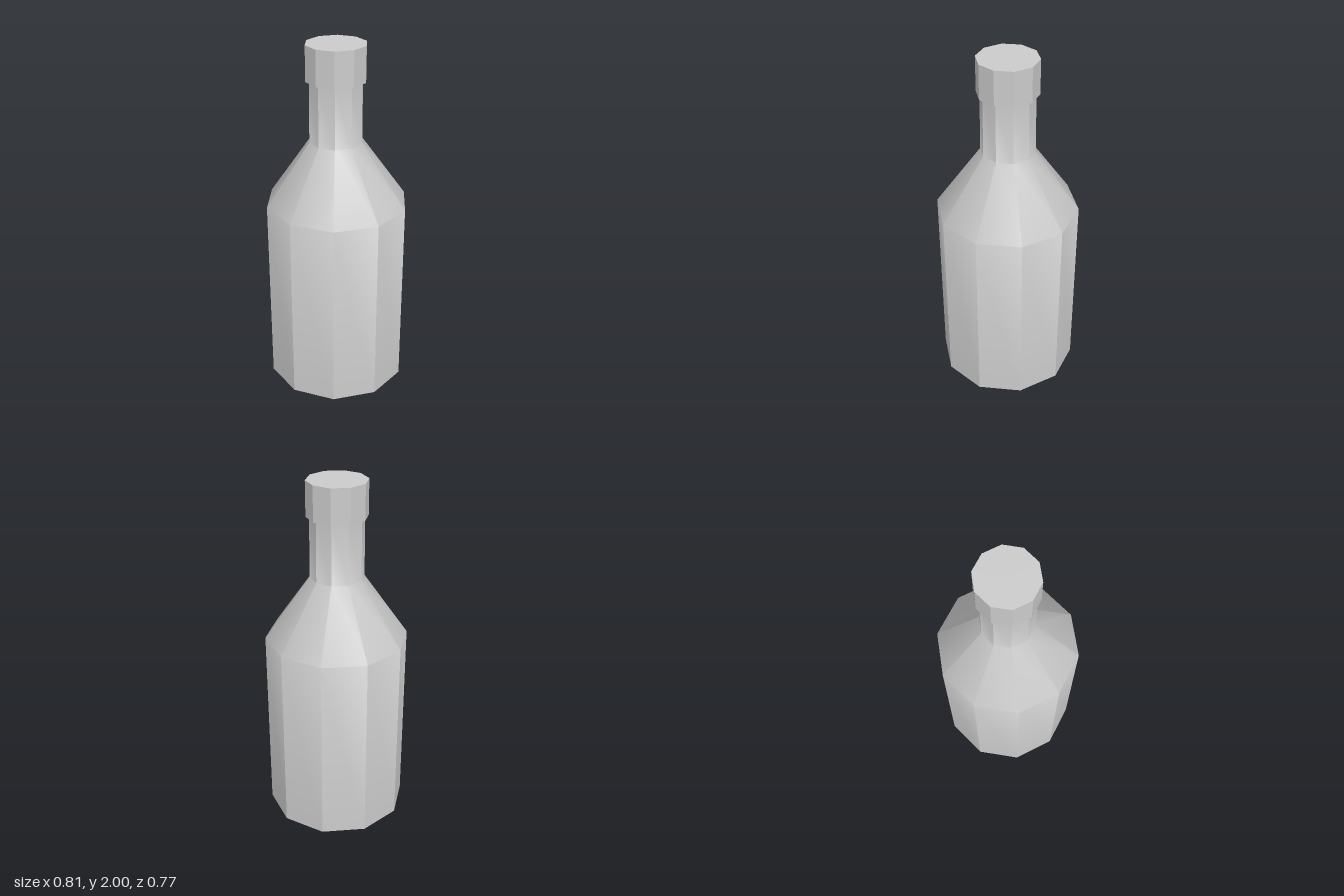
import * as THREE from 'three';
import { toCreasedNormals } from 'three/addons/utils/BufferGeometryUtils.js';

const SIDES = 10;
const OFFSET = -0.003; // neck and cap sit slightly off the body's axis

export function createModel() {
  const group = new THREE.Group();
  group.name = 'bottle';
  const material = new THREE.MeshStandardMaterial({ color: 0xcccccc });

  // Body, shoulder and neck in one ten-sided turned shape
  const profile = [[0, 0], [0.403, 0], [0.403, 1.1], [0.151, 1.46], [0.149, 1.81]]
    .map(([r, y]) => new THREE.Vector2(r, y));
  const bodyGeometry = new THREE.LatheGeometry(profile, SIDES, Math.PI / 2);
  const pos = bodyGeometry.attributes.position;
  for (let i = 0; i < pos.count; i++) {
    if (pos.getY(i) > 1.2) {
      pos.setX(i, pos.getX(i) + OFFSET);
      pos.setZ(i, pos.getZ(i) + OFFSET);
    }
  }
  // Sharp between the sides, smooth where body, shoulder and neck meet
  const body = new THREE.Mesh(
    toCreasedNormals(bodyGeometry, THREE.MathUtils.degToRad(35)), material);
  body.name = 'body';
  group.add(body);

  // Cap, overhanging the neck
  const capGeometry = new THREE.CylinderGeometry(0.168, 0.168, 0.197, SIDES, 1, false, Math.PI / 2);
  const cap = new THREE.Mesh(
    toCreasedNormals(capGeometry, THREE.MathUtils.degToRad(35)), material);
  cap.name = 'cap';
  cap.position.set(OFFSET, 1.9015, OFFSET);
  group.add(cap);

  return group;
}
